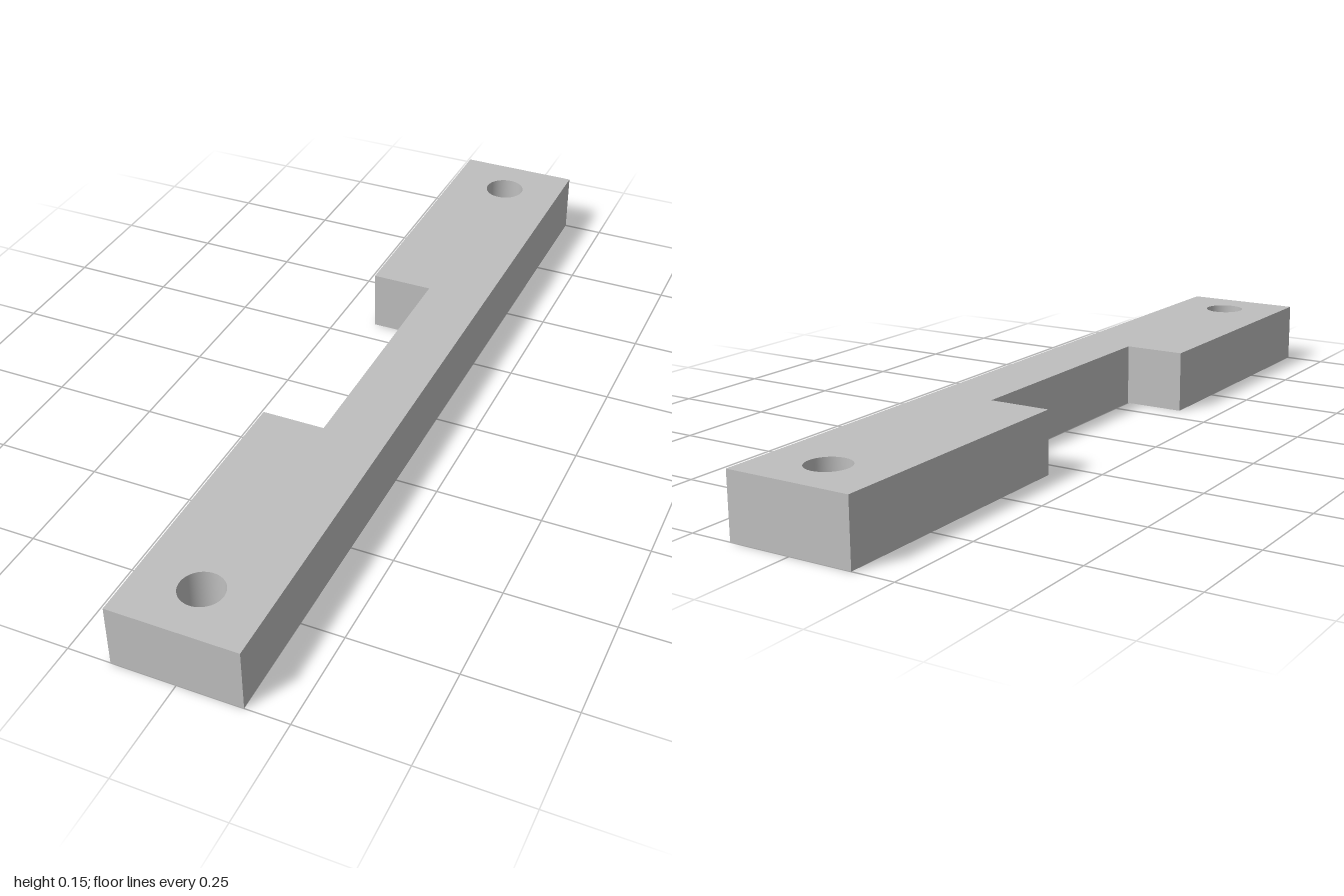
import * as THREE from 'three';

const HALF_WIDTH = 0.15, HALF_LENGTH = 1, HEIGHT = 0.15;
const NOTCH_HALF = 0.314, HOLE_Z = 0.876, HOLE_RADIUS = 0.05;

export function createModel() {
  const group = new THREE.Group();
  group.name = 'mountingBracket';

  const grey = new THREE.MeshStandardMaterial({ color: 0xbfbfbf });
  grey.name = 'grey';

  // Bar outline with a rectangular notch reaching the centre line
  const outline = new THREE.Shape([
    [-HALF_WIDTH, -HALF_LENGTH], [HALF_WIDTH, -HALF_LENGTH],
    [HALF_WIDTH, HALF_LENGTH], [-HALF_WIDTH, HALF_LENGTH],
    [-HALF_WIDTH, NOTCH_HALF], [0, NOTCH_HALF],
    [0, -NOTCH_HALF], [-HALF_WIDTH, -NOTCH_HALF],
  ].map(([x, y]) => new THREE.Vector2(x, y)));

  // Screw hole through each end
  for (const side of [-1, 1]) {
    const hole = new THREE.Path();
    hole.absarc(0, side * HOLE_Z, HOLE_RADIUS, 0, Math.PI * 2, true);
    outline.holes.push(hole);
  }

  const geometry = new THREE.ExtrudeGeometry(outline, {
    depth: HEIGHT, bevelEnabled: false, curveSegments: 32,
  });
  geometry.rotateX(-Math.PI / 2);

  // Round the shading of the hole walls; the bar walls stay flat
  const pos = geometry.attributes.position, normal = geometry.attributes.normal;
  for (let i = 0; i < pos.count; i++) {
    if (Math.abs(normal.getY(i)) > 0.5) continue;
    const x = pos.getX(i), z = pos.getZ(i);
    const dz = z - Math.sign(z) * HOLE_Z;
    const r = Math.hypot(x, dz);
    if (r < HOLE_RADIUS + 0.001) normal.setXYZ(i, -x / r, 0, -dz / r);
  }

  const bar = new THREE.Mesh(geometry, grey);
  bar.name = 'notchedBar';
  group.add(bar);
  return group;
}
